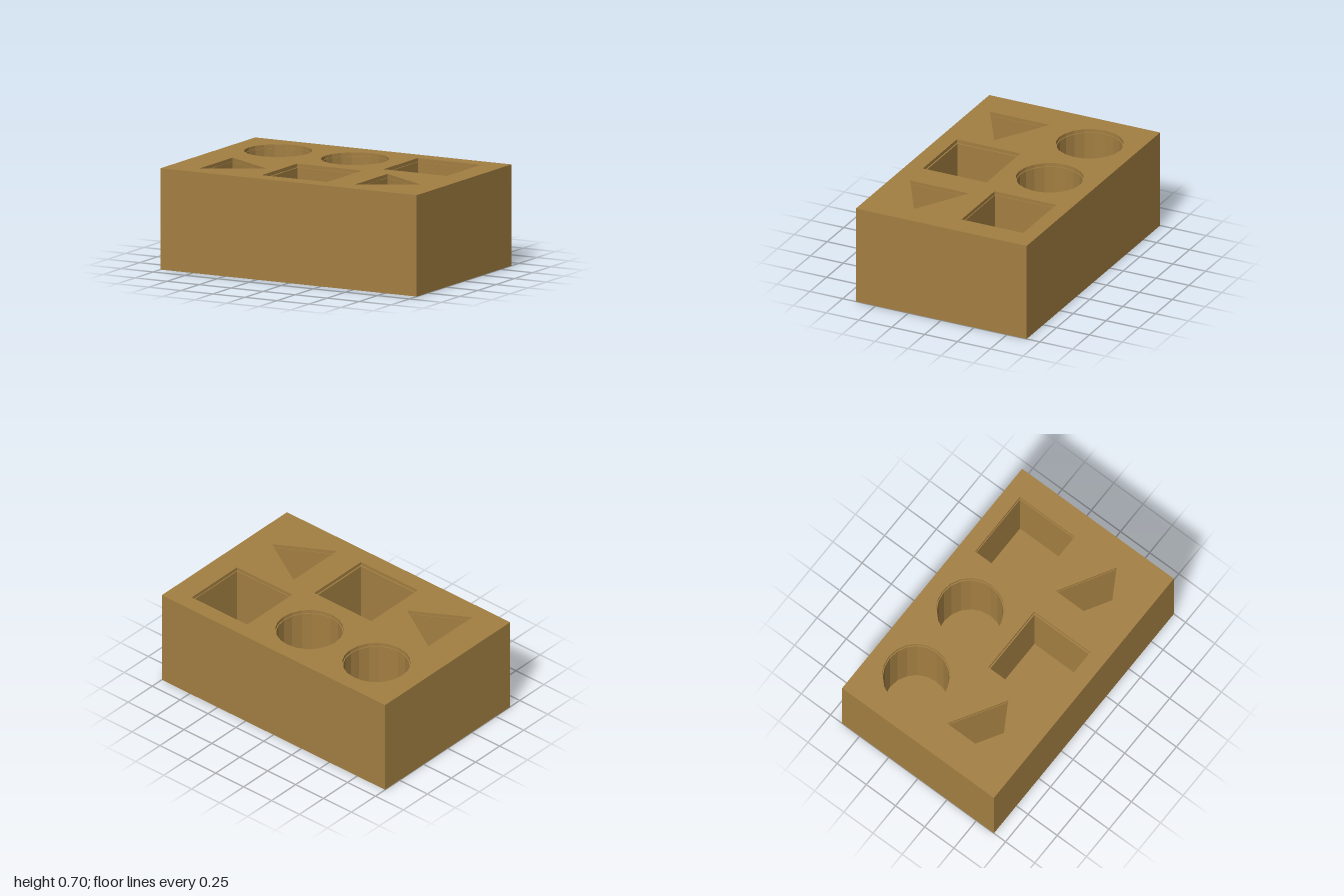
import * as THREE from 'three';

const W = 2, H = 0.7, D = 1.3;
const FLOOR = 0.1; // height of the pocket floors
const LIP = 0.025; // depth of the small step below each rim

// Outlines run counter-clockwise seen from above, as [x, z] points
function circle(cx, cz, r, sides = 20) {
  return Array.from({ length: sides }, (_, i) => {
    const a = (i / sides) * Math.PI * 2;
    return [cx + r * Math.cos(a), cz - r * Math.sin(a)];
  });
}
const rect = (x0, z0, x1, z1) => [[x0, z1], [x1, z1], [x1, z0], [x0, z0]];
const triangle = (x0, x1, z0, z1) => [[x0, z1], [x1, (z0 + z1) / 2], [x0, z0]];

function shrink(points, k) {
  const n = points.length;
  const cx = points.reduce((s, p) => s + p[0], 0) / n;
  const cz = points.reduce((s, p) => s + p[1], 0) / n;
  return points.map(([x, z]) => [cx + (x - cx) * k, cz + (z - cz) * k]);
}

const toVectors = (points) => points.map(([x, z]) => new THREE.Vector2(x, -z));

// Upward-facing flat face at height y
function flatFace(points, y, holes = []) {
  const shape = new THREE.Shape(toVectors(points));
  holes.forEach((h) => shape.holes.push(new THREE.Path(toVectors(h))));
  return new THREE.ShapeGeometry(shape).rotateX(-Math.PI / 2).translate(0, y, 0);
}

// Inward-facing walls joining successive rings from the rim downwards
function pocketWalls(rings) {
  const pos = [];
  for (let r = 0; r < rings.length - 1; r++) {
    const [up, low] = [rings[r], rings[r + 1]];
    const n = up.points.length;
    for (let i = 0; i < n; i++) {
      const j = (i + 1) % n;
      const at = (ring, k) => [ring.points[k][0], ring.y, ring.points[k][1]];
      const [a, b, c, d] = [at(up, i), at(up, j), at(low, j), at(low, i)];
      pos.push(...a, ...b, ...c, ...a, ...c, ...d);
    }
  }
  const geo = new THREE.BufferGeometry();
  geo.setAttribute('position', new THREE.Float32BufferAttribute(pos, 3));
  geo.computeVertexNormals();
  return geo;
}

export function createModel() {
  const model = new THREE.Group();
  model.name = 'shapeBlock';
  const wood = new THREE.MeshStandardMaterial({ color: 0xa37f42 });
  wood.name = 'wood';

  const add = (name, geometry, parent = model) => {
    const mesh = new THREE.Mesh(geometry, wood);
    mesh.name = name;
    parent.add(mesh);
  };

  const pockets = [
    ['roundPocketOuter', circle(-0.625, -0.305, 0.233), 0.97],
    ['roundPocketInner', circle(-0.025, -0.305, 0.233), 0.97],
    ['squarePocketBack', rect(0.333, -0.537, 0.829, -0.067), 0.975],
    ['trianglePocketRight', triangle(-0.767, -0.38, 0.07, 0.527), 0.97],
    ['squarePocketFront', rect(-0.278, 0.045, 0.233, 0.53), 0.96],
    ['trianglePocketLeft', triangle(0.441, 0.829, 0.07, 0.522), 0.97],
  ];

  // Block body: a box without its top face
  const body = new THREE.BoxGeometry(W, H, D).translate(0, H / 2, 0);
  const index = Array.from(body.index.array);
  index.splice(12, 6);
  body.setIndex(index);
  body.clearGroups();
  add('blockBody', body);

  // Top face with the six openings
  const outline = rect(-W / 2, -D / 2, W / 2, D / 2);
  add('blockTop', flatFace(outline, H, pockets.map((p) => p[1])));

  // Stepped pockets with flat floors
  for (const [name, rim, k] of pockets) {
    const pocket = new THREE.Group();
    pocket.name = name;
    model.add(pocket);
    const inner = shrink(rim, k);
    add('pocketWalls', pocketWalls([
      { points: rim, y: H },
      { points: rim, y: H - LIP },
      { points: inner, y: H - LIP },
      { points: inner, y: FLOOR },
    ]), pocket);
    add('pocketFloor', flatFace(inner, FLOOR), pocket);
  }
  return model;
}
